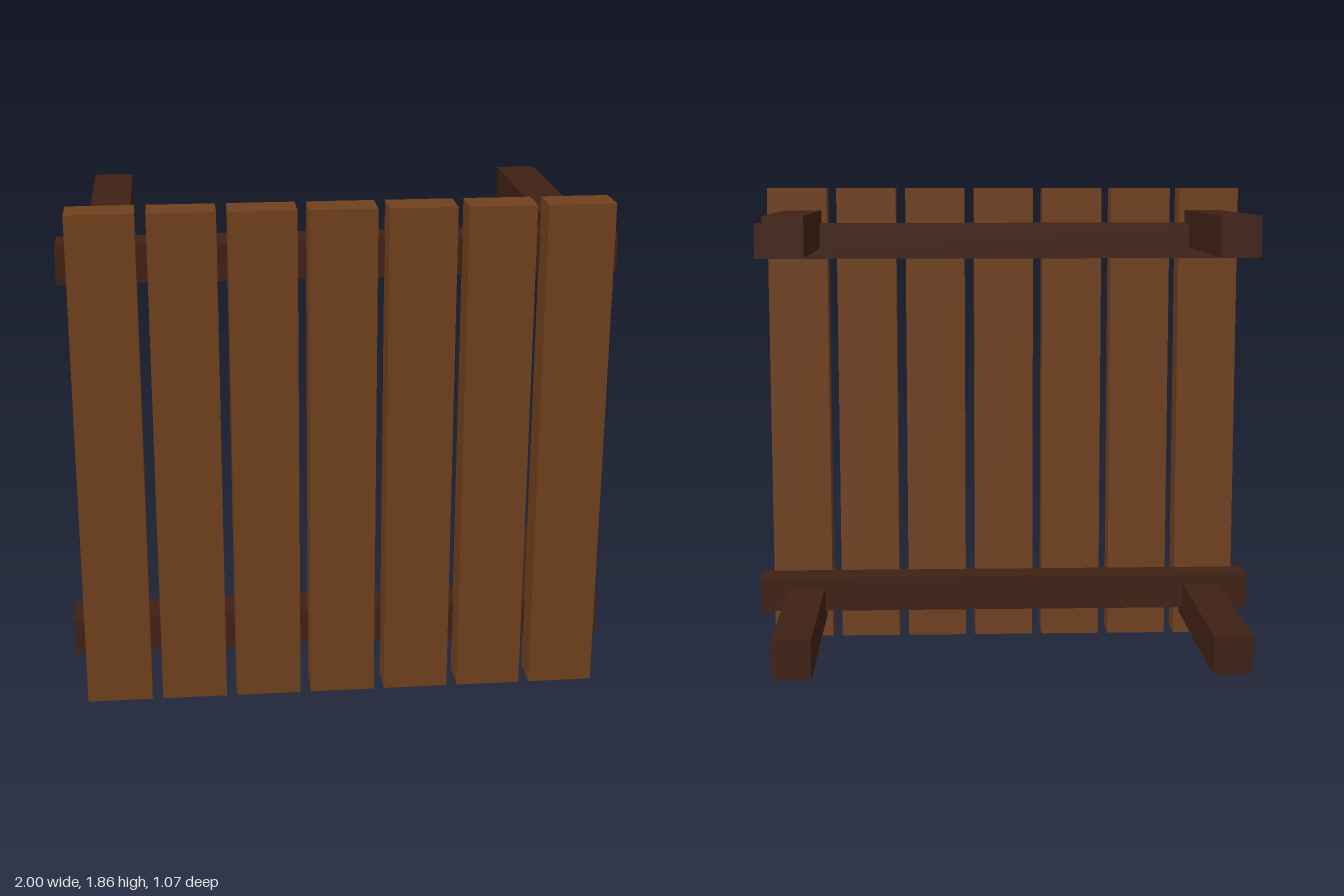
import * as THREE from 'three';

export function createModel() {
  const model = new THREE.Group();
  const plankWood = new THREE.MeshStandardMaterial({ color: 0x70401e });
  const darkWood = new THREE.MeshStandardMaterial({ color: 0x402114 });

  // Box given by its extents on each axis
  const addBox = (name, [x0, x1], [y0, y1], [z0, z1], material) => {
    const mesh = new THREE.Mesh(new THREE.BoxGeometry(x1 - x0, y1 - y0, z1 - z0), material);
    mesh.position.set((x0 + x1) / 2, (y0 + y1) / 2, (z0 + z1) / 2);
    mesh.name = name;
    model.add(mesh);
  };

  // Seven upright planks forming the slatted top
  for (let i = -3; i <= 3; i++) {
    const x = i * 0.279;
    addBox(`plank${i + 4}`, [x - 0.12, x + 0.12], [0, 1.862], [0.4, 0.535], plankWood);
  }

  // Cross rails behind the planks
  addBox('lowerRail', [-1, 1], [0.142, 0.282], [0.267, 0.412], darkWood);
  addBox('upperRail', [-1, 1], [1.585, 1.723], [0.267, 0.412], darkWood);

  // Four legs, let into the outer planks and reaching backwards
  for (const [side, x] of [['left', 0.812], ['right', -0.812]]) {
    const span = [x - 0.073, x + 0.073];
    addBox(`${side}LowerLeg`, span, [0.092, 0.24], [-0.535, 0.53], darkWood);
    addBox(`${side}UpperLeg`, span, [1.627, 1.774], [-0.535, 0.53], darkWood);
  }
  return model;
}
